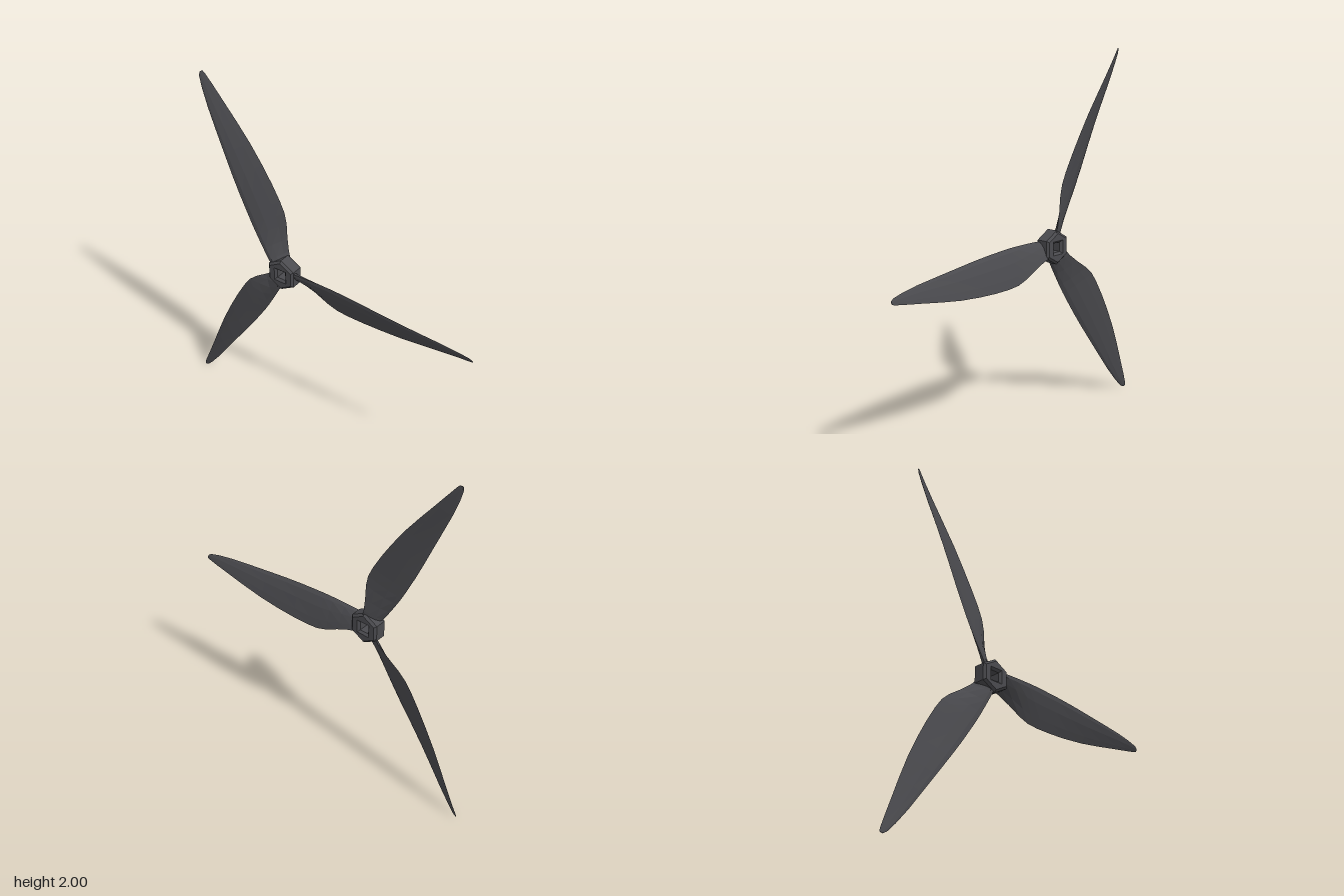
import * as THREE from 'three';

const material = new THREE.MeshStandardMaterial({ color: 0x4a4a4e, flatShading: true });

// Blade stations: [radius, leading y, trailing y, leading z, trailing z, thickness]
const stations = [
  [0.05, 0.035, -0.045, 0.030, -0.036, 0.036],
  [0.10, 0.038, -0.058, 0.031, -0.039, 0.030],
  [0.17, 0.040, -0.088, 0.030, -0.041, 0.024],
  [0.25, 0.041, -0.128, 0.028, -0.043, 0.021],
  [0.31, 0.040, -0.148, 0.027, -0.044, 0.020],
  [0.38, 0.036, -0.155, 0.026, -0.044, 0.019],
  [0.48, 0.029, -0.156, 0.025, -0.044, 0.018],
  [0.59, 0.018, -0.152, 0.024, -0.043, 0.017],
  [0.72, 0.004, -0.142, 0.020, -0.040, 0.015],
  [0.85, -0.009, -0.124, 0.014, -0.036, 0.013],
  [0.97, -0.021, -0.105, 0.007, -0.031, 0.011],
  [1.07, -0.036, -0.090, 0.000, -0.026, 0.009],
  [1.13, -0.049, -0.081, -0.006, -0.021, 0.007],
  [1.15, -0.060, -0.076, -0.010, -0.018, 0.004],
];

// Airfoil loop: [position along chord, offset in thicknesses]
const airfoil = [
  [0, 0], [0.12, 0.35], [0.4, 0.45], [0.75, 0.22],
  [1, 0], [0.75, -0.3], [0.4, -0.55], [0.12, -0.4],
];

function bladeGeometry() {
  const n = airfoil.length;
  const points = [];
  const index = [];
  for (const [r, y0, y1, z0, z1, t] of stations) {
    const dy = y1 - y0, dz = z1 - z0, chord = Math.hypot(dy, dz);
    for (const [u, w] of airfoil) {
      points.push(r, y0 + dy * u + (dz / chord) * w * t, z0 + dz * u - (dy / chord) * w * t);
    }
  }
  // Skin between neighbouring sections
  for (let i = 0; i < stations.length - 1; i++) {
    for (let j = 0; j < n; j++) {
      const a = i * n + j, b = i * n + (j + 1) % n;
      index.push(a, b, b + n, a, b + n, a + n);
    }
  }
  // Root and tip caps
  const tip = (stations.length - 1) * n;
  for (let j = 1; j < n - 1; j++) {
    index.push(0, j + 1, j, tip, tip + j, tip + j + 1);
  }
  const geometry = new THREE.BufferGeometry();
  geometry.setAttribute('position', new THREE.Float32BufferAttribute(points, 3));
  geometry.setIndex(index);
  geometry.computeVertexNormals();
  return geometry;
}

// Hexagonal hub with a square shaft hole
function hubGeometry() {
  const bevel = 0.012;
  const shape = new THREE.Shape();
  for (let i = 0; i < 6; i++) {
    const a = (i + 0.5) * Math.PI / 3;
    const x = 0.08 * Math.cos(a), y = 0.08 * Math.sin(a);
    if (i === 0) shape.moveTo(x, y);
    else shape.lineTo(x, y);
  }
  shape.closePath();
  const h = 0.026 + bevel;
  const hole = new THREE.Path();
  hole.moveTo(-h, -h);
  hole.lineTo(-h, h);
  hole.lineTo(h, h);
  hole.lineTo(h, -h);
  hole.closePath();
  shape.holes.push(hole);
  const geometry = new THREE.ExtrudeGeometry(shape, {
    depth: 0.086 - 2 * bevel, bevelEnabled: true, bevelThickness: bevel, bevelSize: bevel, bevelSegments: 1,
  });
  geometry.translate(0, 0, -0.043 + bevel);
  return geometry;
}

export function createModel() {
  const model = new THREE.Group();
  model.name = 'propeller';

  const rotor = new THREE.Group();
  rotor.name = 'rotor';
  rotor.position.set(-0.26, 0.96, 0);
  model.add(rotor);

  const hub = new THREE.Mesh(hubGeometry(), material);
  hub.name = 'hub';
  rotor.add(hub);

  const geometry = bladeGeometry();
  ['sideBlade', 'upperBlade', 'lowerBlade'].forEach((name, i) => {
    const blade = new THREE.Mesh(geometry, material);
    blade.name = name;
    blade.rotation.z = i * Math.PI * 2 / 3;
    rotor.add(blade);
  });

  return model;
}
